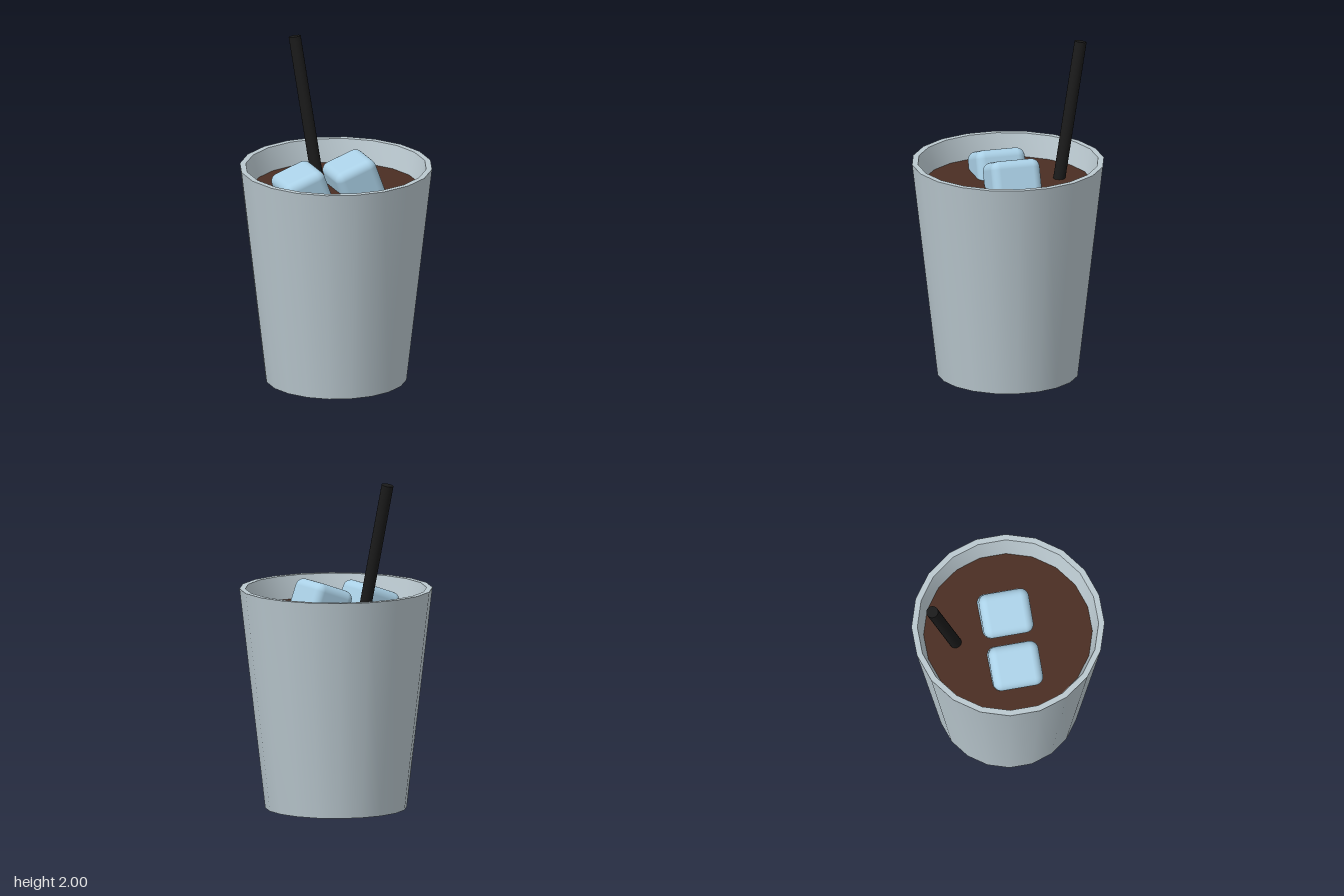
import * as THREE from 'three';
import { toCreasedNormals } from 'three/addons/utils/BufferGeometryUtils.js';
import { RoundedBoxGeometry } from 'three/addons/geometries/RoundedBoxGeometry.js';

const SIDES = 20;
const LIQUID_Y = 1.18;

function makeMaterial(name, color) {
  const material = new THREE.MeshStandardMaterial({ color });
  material.name = name;
  return material;
}

export function createModel() {
  const model = new THREE.Group();
  model.name = 'icedDrink';

  const cupGrey = makeMaterial('cupGrey', 0xbac8cf);
  const drinkBrown = makeMaterial('drinkBrown', 0x4a2e23);
  const iceBlue = makeMaterial('iceBlue', 0xaad0e6);
  const strawBlack = makeMaterial('strawBlack', 0x1a1a1a);

  function add(name, geometry, material) {
    const mesh = new THREE.Mesh(geometry, material);
    mesh.name = name;
    model.add(mesh);
    return mesh;
  }

  // Cup: base, tapered wall, flat rim and inner wall down to the drink
  const profile = [[0, 0], [0.42, 0], [0.572, 1.315], [0.537, 1.315], [0.5, LIQUID_Y]]
    .map(([r, y]) => new THREE.Vector2(r, y));
  add('cup', toCreasedNormals(new THREE.LatheGeometry(profile, SIDES), 0.7), cupGrey);

  // Drink surface
  const liquid = add('liquid', new THREE.CircleGeometry(0.5, SIDES), drinkBrown);
  liquid.rotation.x = -Math.PI / 2;
  liquid.position.y = LIQUID_Y;

  // Ice cubes, both turned and tipped the same way
  const iceGeometry = new RoundedBoxGeometry(0.265, 0.27, 0.3, 4, 0.05);
  const icePositions = { iceCubeLeft: [0.098, 1.212, 0.054], iceCubeRight: [-0.19, 1.178, -0.094] };
  for (const [name, position] of Object.entries(icePositions)) {
    const cube = add(name, iceGeometry, iceBlue);
    cube.position.set(...position);
    cube.rotation.set(0, THREE.MathUtils.degToRad(-27), THREE.MathUtils.degToRad(20), 'YXZ');
  }

  // Straw, leaning back, its lower end in the drink
  const strawLength = 1.1;
  const strawGeometry = new THREE.CylinderGeometry(0.036, 0.036, strawLength, 16);
  strawGeometry.translate(0, -strawLength / 2, 0);
  const straw = add('straw', strawGeometry, strawBlack);
  straw.position.set(0.142, 1.992, -0.456);
  straw.rotation.x = THREE.MathUtils.degToRad(-12);

  return model;
}
